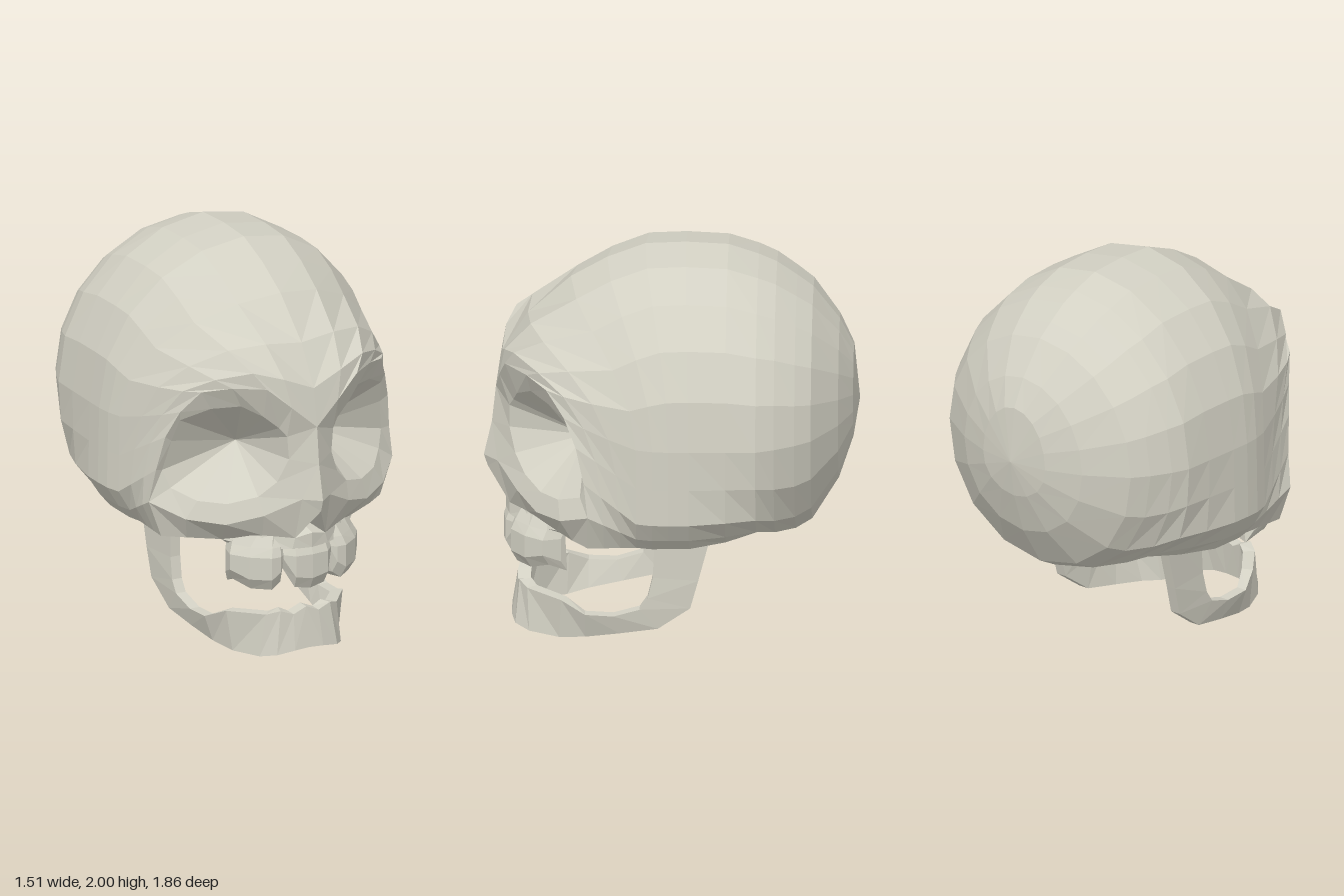
import * as THREE from 'three';

const bone = new THREE.MeshStandardMaterial({ color: 0xd2d0c3, flatShading: true, side: THREE.DoubleSide });
bone.name = 'bone';

// Triangles for a grid of cross-section rows; "closed" joins the last column to the first
function grid(rows, closed = false) {
  const tris = [];
  for (let i = 0; i + 1 < rows.length; i++) {
    const n = rows[i].length;
    for (let j = 0; j < (closed ? n : n - 1); j++) {
      const k = (j + 1) % n;
      const a = rows[i][j], b = rows[i + 1][j], c = rows[i][k], d = rows[i + 1][k];
      tris.push([a, b, c], [b, d, c]);
    }
  }
  return tris;
}

// Mesh from the +x half of a part plus its mirror image
function mirroredMesh(name, tris) {
  const pos = [];
  for (const [a, b, c] of tris) {
    pos.push(...a, ...b, ...c);
    for (const [x, y, z] of [a, c, b]) pos.push(-x, y, z);
  }
  const geo = new THREE.BufferGeometry();
  geo.setAttribute('position', new THREE.Float32BufferAttribute(pos, 3));
  geo.computeVertexNormals();
  const mesh = new THREE.Mesh(geo, bone);
  mesh.name = name;
  return mesh;
}

const mix = (a, b, t) => a.map((v, i) => v + (b[i] - v) * t);

// Brow line, running from between the eyes round the orbit to the cheek's lower edge
const BROW = [
  [0, 1.22, 0.87], [0.13, 1.335, 0.85], [0.255, 1.445, 0.82], [0.39, 1.44, 0.71], [0.51, 1.41, 0.61],
  [0.58, 1.29, 0.52], [0.63, 1.15, 0.46], [0.66, 0.97, 0.42], [0.69, 0.8, 0.4], [0.62, 0.61, 0.4],
];

// Lower part of a braincase section as fractions of width and depth
const OPEN_BASE = [[1.005, 0.36], [1.01, 0.69], [0.92, 0.88], [0.84, 1]];
const CLOSED_BASE = [[0.94, 0.36], [0.74, 0.69], [0.4, 0.92], [0, 1]];

// Half cross-section of the braincase: elliptical vault over a partly closed base
function vaultSection([z, top, bottom, w, sweep, closing]) {
  const cy = 1.18, pts = [];
  for (let i = 0; i <= 5; i++) {
    const a = (i * Math.PI) / 10, s = Math.sin(a);
    pts.push([w * s, cy + (top - cy) * Math.cos(a), z - sweep * s * s]);
  }
  OPEN_BASE.forEach((p, i) => {
    const [fx, fy] = mix(p, CLOSED_BASE[i], closing);
    pts.push([w * fx, cy + (bottom - cy) * fy, z - sweep]);
  });
  return pts;
}

function cranium() {
  // z, top, bottom, half width, backward sweep of the sides, how far the base closes
  const vault = [
    [-0.93, 1.18, 1.18, 0, 0, 1], [-0.9, 1.46, 0.99, 0.2, 0, 1],
    [-0.83, 1.6, 0.78, 0.38, 0, 1], [-0.7, 1.77, 0.575, 0.585, 0, 1],
    [-0.62, 1.83, 0.535, 0.645, 0, 0.95], [-0.52, 1.9, 0.56, 0.7, 0, 0.65],
    [-0.43, 1.94, 0.615, 0.735, 0, 0.35],
    [-0.28, 1.99, 0.62, 0.74, 0, 0.12], [-0.07, 2.0, 0.615, 0.745, 0.03, 0],
    [0.13, 1.99, 0.615, 0.747, 0.13, 0], [0.32, 1.915, 0.61, 0.74, 0.24, 0],
    [0.5, 1.81, 0.61, 0.72, 0.34, 0],
  ].map(vaultSection);
  // Forehead and temples blend from the vault to the brow, bulging over the eyes
  const front = vault[vault.length - 1];
  const bulge = [0.09, 0.1, 0.1, 0.08, 0.05, 0.02, 0, 0, 0, 0];
  const forehead = [0.33, 0.67].map((t) => front.map((p, i) => {
    const [x, y, z] = mix(p, BROW[i], t);
    return [x, y, z + bulge[i]];
  }));
  return mirroredMesh('cranium', grid([...vault, ...forehead, BROW]));
}

// Ring around each eye, continued from the brow across the cheek to the nose
const ORBIT = [
  ...BROW.slice(0, 9),
  [0.56, 0.73, 0.54], [0.4, 0.71, 0.66], [0.24, 0.76, 0.76], [0.08, 0.85, 0.86], [0, 1.03, 0.89],
];

function eyeSockets() {
  const rim = [
    [0.13, 1.17, 0.8], [0.165, 1.215, 0.78], [0.24, 1.28, 0.76], [0.33, 1.33, 0.69], [0.45, 1.31, 0.6],
    [0.57, 1.24, 0.5], [0.59, 1.12, 0.45], [0.62, 0.96, 0.41], [0.59, 0.87, 0.44], [0.5, 0.82, 0.55],
    [0.38, 0.81, 0.64], [0.25, 0.85, 0.72], [0.17, 0.93, 0.77], [0.12, 1.05, 0.8],
  ];
  const back = [0.21, 1.05, 0.42];
  return mirroredMesh('browsAndEyeSockets', grid([ORBIT, rim, rim.map(() => back)], true));
}

function cheeksAndNose() {
  const lower = [BROW[9], [0.52, 0.61, 0.48], [0.37, 0.6, 0.56], [0.22, 0.64, 0.71], [0.085, 0.63, 0.8], [0, 0.65, 0.82]];
  const gum = [[0.33, 0.57, 0.54], [0.24, 0.575, 0.72], [0.1, 0.575, 0.8], [0, 0.575, 0.82]];
  const bridge = ORBIT[13], side = ORBIT[12], tip = [0, 0.85, 0.93], notch = [0, 0.79, 0.91];
  const inner = [0, 0.7, 0.6], wing = lower[4], lip = lower[5];
  return mirroredMesh('cheeksAndNose', [
    ...grid([lower.slice(0, 5), ORBIT.slice(8, 13)]),
    ...grid([gum, lower.slice(2)]),
    // Nose bridge and the hollow under it
    [bridge, tip, side], [tip, notch, side], [notch, wing, side],
    [notch, inner, wing], [lip, wing, inner],
  ]);
}

// Curved bar from equal cross-sections, with its far end capped
function bar(name, sections) {
  const [first, ...rest] = sections[sections.length - 1];
  const cap = rest.slice(1).map((p, i) => [first, p, rest[i]]);
  return mirroredMesh(name, [...grid(sections, true), ...cap]);
}

function upperTeeth() {
  // x, z, lower edge
  const stations = [
    [0, 0.83, 0.355], [0.09, 0.82, 0.37], [0.135, 0.77, 0.46], [0.16, 0.79, 0.4], [0.21, 0.79, 0.365],
    [0.3, 0.72, 0.365], [0.36, 0.63, 0.4], [0.335, 0.54, 0.36],
  ];
  // The inner wall rises into the skull towards the back teeth
  return bar('upperTeeth', stations.map(([x, z, y]) => {
    const ix = x * 0.62, iz = Math.max(z - 0.12, 0.54);
    return [
      [ix, 0.62 + 0.7 * x, iz], [ix, y + 0.01, iz], [x * 0.92, y, z - 0.03],
      [x, y + 0.06, z], [x, 0.54, z], [x * 0.94, 0.585, z - 0.02],
    ];
  }));
}

function lowerJaw() {
  // Upper and lower edge of the outer face, from the chin back and up the branch
  const top = [
    [0, 0.245, 0.76], [0.07, 0.215, 0.76], [0.14, 0.24, 0.75], [0.2, 0.22, 0.71], [0.33, 0.21, 0.54],
    [0.385, 0.155, 0.42], [0.39, 0.15, 0.28], [0.395, 0.19, 0.15], [0.395, 0.25, 0.11],
    [0.39, 0.36, 0.085], [0.385, 0.7, 0.07],
  ];
  const bottom = [
    [0, 0.04, 0.79], [0.08, 0.035, 0.79], [0.17, 0.02, 0.77], [0.23, 0.003, 0.7], [0.3, 0, 0.55],
    [0.34, 0.02, 0.42], [0.365, 0.05, 0.25], [0.385, 0.085, 0.06], [0.395, 0.2, -0.1],
    [0.4, 0.35, -0.14], [0.4, 0.7, -0.23],
  ];
  return bar('lowerJaw', top.map((t, i) => {
    const a = THREE.MathUtils.clamp((i - 1) / 4, 0, 1) * Math.PI / 2;
    const inward = ([x, y, z]) => [x - 0.055 * Math.sin(a), y, z - 0.065 * Math.cos(a)];
    return [inward(t), inward(bottom[i]), bottom[i], t];
  }));
}

export function createModel() {
  const skull = new THREE.Group();
  skull.name = 'skull';
  skull.add(cranium(), eyeSockets(), cheeksAndNose(), upperTeeth(), lowerJaw());
  return skull;
}
